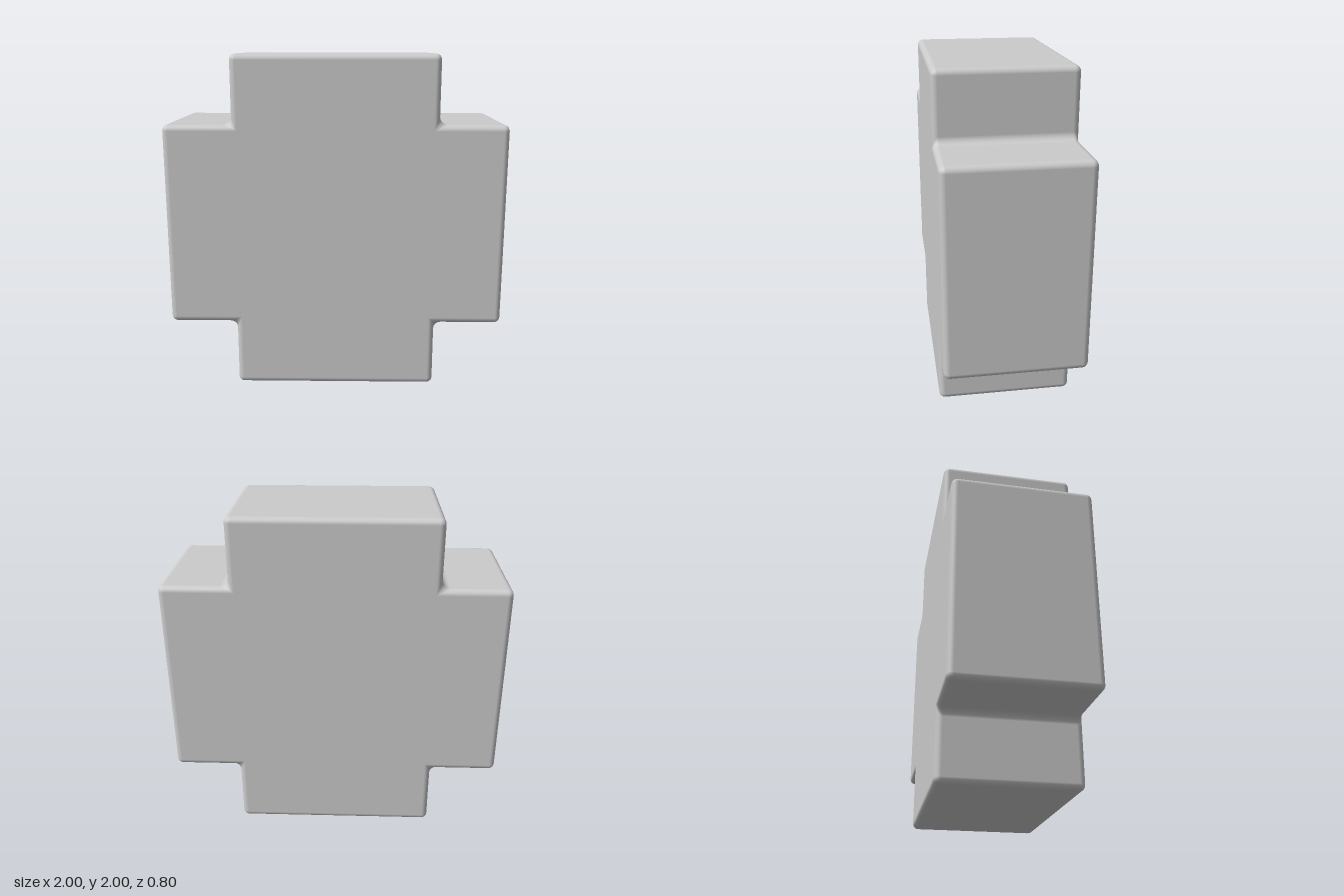
import * as THREE from 'three';

const HALF_DEPTH = 0.4;
const BEVEL = 0.035;      // edge rounding, also the convex corner radius
const FILLET = 0.045;     // inner corner radius
const STEPS = 5;          // segments per rounding

// Cross outline, counter-clockwise, centred on the origin
const OUTLINE = [
  [-0.6, -1], [0.6, -1], [0.6, -0.6], [1, -0.6], [1, 0.6], [0.6, 0.6],
  [0.6, 1], [-0.6, 1], [-0.6, 0.6], [-1, 0.6], [-1, -0.6], [-0.6, -0.6],
].map(([x, y]) => new THREE.Vector2(x, y));

// Outline inset for bevel angle a; corners sharpen towards the flat faces
function crossSection(a) {
  const inset = BEVEL * (1 - Math.cos(a));
  const n = OUTLINE.length;
  const points = [];
  OUTLINE.forEach((corner, i) => {
    const d1 = corner.clone().sub(OUTLINE[(i + n - 1) % n]).normalize();
    const d2 = OUTLINE[(i + 1) % n].clone().sub(corner).normalize();
    const n1 = new THREE.Vector2(d1.y, -d1.x);
    const n2 = new THREE.Vector2(d2.y, -d2.x);
    const side = Math.sign(d1.cross(d2)); // +1 convex, -1 concave
    const radius = (side > 0 ? BEVEL : FILLET) * Math.cos(a);
    const centre = corner.clone()
      .addScaledVector(n1, -inset).addScaledVector(n2, -inset)
      .addScaledVector(d1, -radius).addScaledVector(d2, radius);
    for (let k = 0; k <= STEPS; k++) {
      const t = (k / STEPS) * Math.PI / 2;
      const normal = n1.clone().multiplyScalar(Math.cos(t)).addScaledVector(n2, Math.sin(t));
      points.push({ position: centre.clone().addScaledVector(normal, side * radius), normal });
    }
  });
  return points;
}

function roundedCross() {
  const positions = [], normals = [], indices = [];
  const count = OUTLINE.length * (STEPS + 1);

  // Rings from the back face, over both bevels, to the front face
  const rings = [];
  for (const end of [-1, 1]) {
    for (let k = 0; k <= STEPS; k++) {
      const a = (end < 0 ? k / STEPS - 1 : k / STEPS) * Math.PI / 2;
      rings.push({ a, z: end * (HALF_DEPTH - BEVEL) + BEVEL * Math.sin(a) });
    }
  }
  rings.forEach(({ a, z }, i) => {
    crossSection(a).forEach(({ position, normal }, j) => {
      positions.push(position.x, position.y, z);
      normals.push(normal.x * Math.cos(a), normal.y * Math.cos(a), Math.sin(a));
      if (i === rings.length - 1) return;
      const p = i * count + j, q = i * count + (j + 1) % count;
      indices.push(p, q, q + count, p, q + count, p + count);
    });
  });

  // Flat front and back, fanned from the middle
  for (const end of [-1, 1]) {
    const middle = positions.length / 3;
    positions.push(0, 0, end * HALF_DEPTH);
    normals.push(0, 0, end);
    const start = end < 0 ? 0 : (rings.length - 1) * count;
    for (let j = 0; j < count; j++) {
      const p = start + j, q = start + (j + 1) % count;
      indices.push(middle, ...(end > 0 ? [p, q] : [q, p]));
    }
  }

  const geometry = new THREE.BufferGeometry();
  geometry.setAttribute('position', new THREE.Float32BufferAttribute(positions, 3));
  geometry.setAttribute('normal', new THREE.Float32BufferAttribute(normals, 3));
  geometry.setIndex(indices);
  return geometry;
}

export function createModel() {
  const group = new THREE.Group();
  const cross = new THREE.Mesh(roundedCross(), new THREE.MeshStandardMaterial({ color: 0xcccccc }));
  cross.name = 'crossBlock';
  cross.position.y = 1;
  group.add(cross);
  return group;
}
